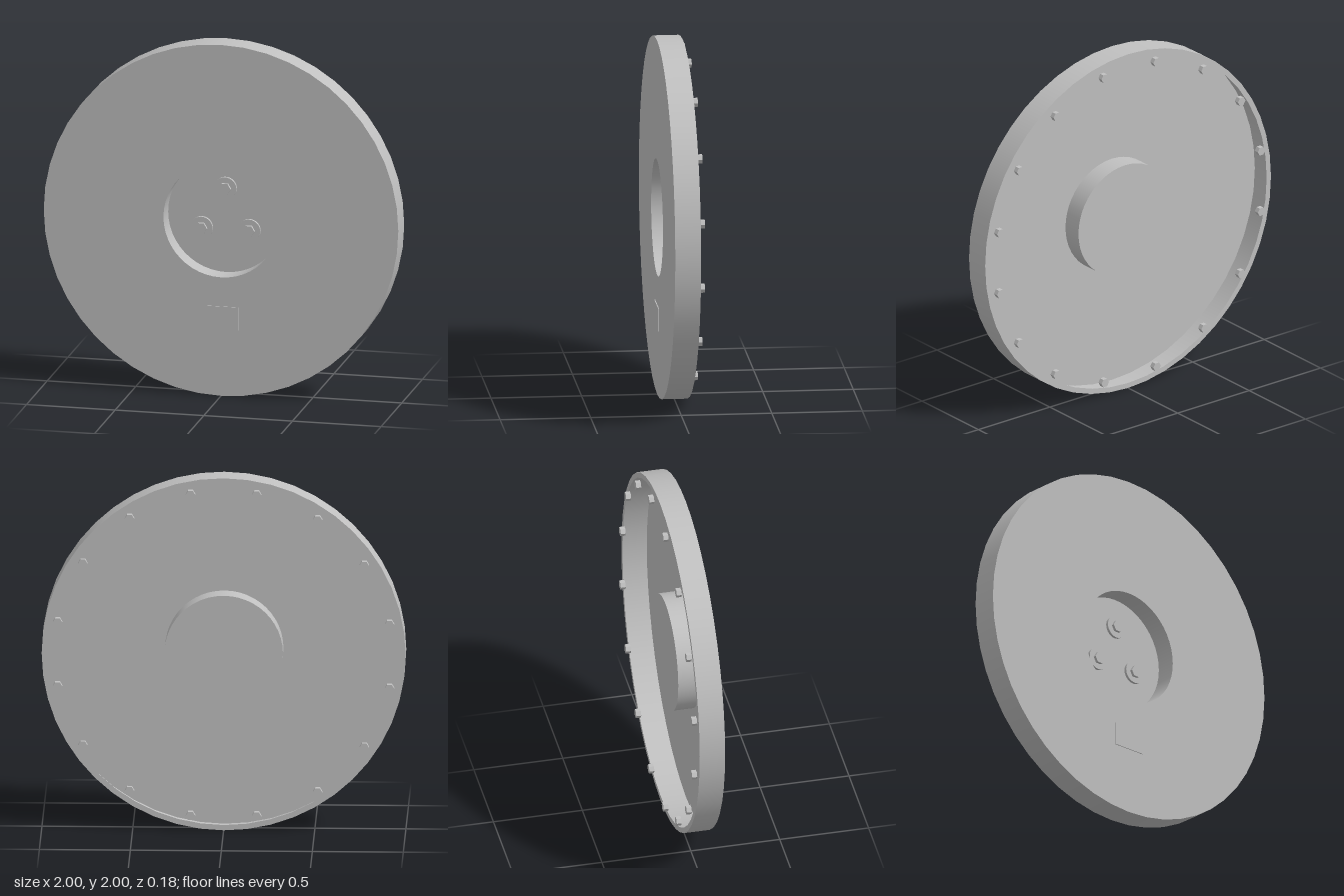
import * as THREE from 'three';

const SEG = 48;
const FRONT = 0.083, BACK = -0.06, FLOOR = -0.032;
const RIM = 1, LIP = 0.97, CUP = 0.325;

export function createModel() {
  const model = new THREE.Group();
  model.name = 'wheelCover';
  // Everything is built around the disc axis, then raised to stand on the ground
  const disc = new THREE.Group();
  disc.name = 'disc';
  disc.position.y = 1;
  model.add(disc);

  const metal = new THREE.MeshStandardMaterial({ color: 0xc0c0c0, side: THREE.DoubleSide });
  metal.name = 'lightGreyMetal';

  const add = (name, geometry, x = 0, y = 0, z = 0, parent = disc) => {
    const mesh = new THREE.Mesh(geometry, metal);
    mesh.name = name;
    mesh.position.set(x, y, z);
    parent.add(mesh);
    return mesh;
  };

  // Open sheet wall around the z axis
  const wall = (radius, z0, z1) =>
    new THREE.CylinderGeometry(radius, radius, z1 - z0, SEG, 1, true)
      .rotateX(Math.PI / 2).translate(0, 0, (z0 + z1) / 2);

  // Solid plug along z, with corners on the x axis
  const plug = (radius, depth, sides) => {
    const g = new THREE.CylinderGeometry(radius, radius, depth, sides, 1, false, Math.PI / 2);
    g.rotateX(Math.PI / 2);
    if (sides > 8) return g;
    const flat = g.toNonIndexed();
    flat.computeVertexNormals();
    return flat;
  };

  // Bent sheet shell: face, outer wall, inward lip, and closed central recess
  add('facePlate', new THREE.RingGeometry(CUP, RIM, SEG), 0, 0, FRONT);
  add('outerWall', wall(RIM, BACK, FRONT));
  add('backLip', new THREE.RingGeometry(LIP, RIM, SEG).rotateY(Math.PI), 0, 0, BACK);
  add('recessWall', wall(CUP, FLOOR, FRONT));
  add('recessFloor', new THREE.CircleGeometry(CUP, SEG), 0, 0, FLOOR);

  // Three mounting studs, each a round washer with a hex head
  const washer = plug(0.063, 0.015, 32), head = plug(0.034, 0.016, 6);
  for (let i = 0; i < 3; i++) {
    const a = Math.PI / 2 + i * Math.PI * 2 / 3;
    const stud = new THREE.Group();
    stud.name = 'mountingStud';
    stud.position.set(0.155 * Math.cos(a), 0.155 * Math.sin(a), FLOOR);
    add('washer', washer, 0, 0, 0.0075, stud);
    add('hexHead', head, 0, 0, 0.023, stud);
    disc.add(stud);
  }

  // Ring of small hex bolts behind the rim
  const bolt = plug(0.026, 0.028, 6);
  for (let i = 0; i < 16; i++) {
    const a = (i + 0.5) * Math.PI / 8;
    add('rimBolt', bolt, 0.93 * Math.cos(a), 0.93 * Math.sin(a), BACK - 0.014);
  }

  // Thin blank plate low on the face
  add('facePlaque', new THREE.BoxGeometry(0.2, 0.13, 0.005), 0, -0.555, FRONT + 0.0025);

  return model;
}
